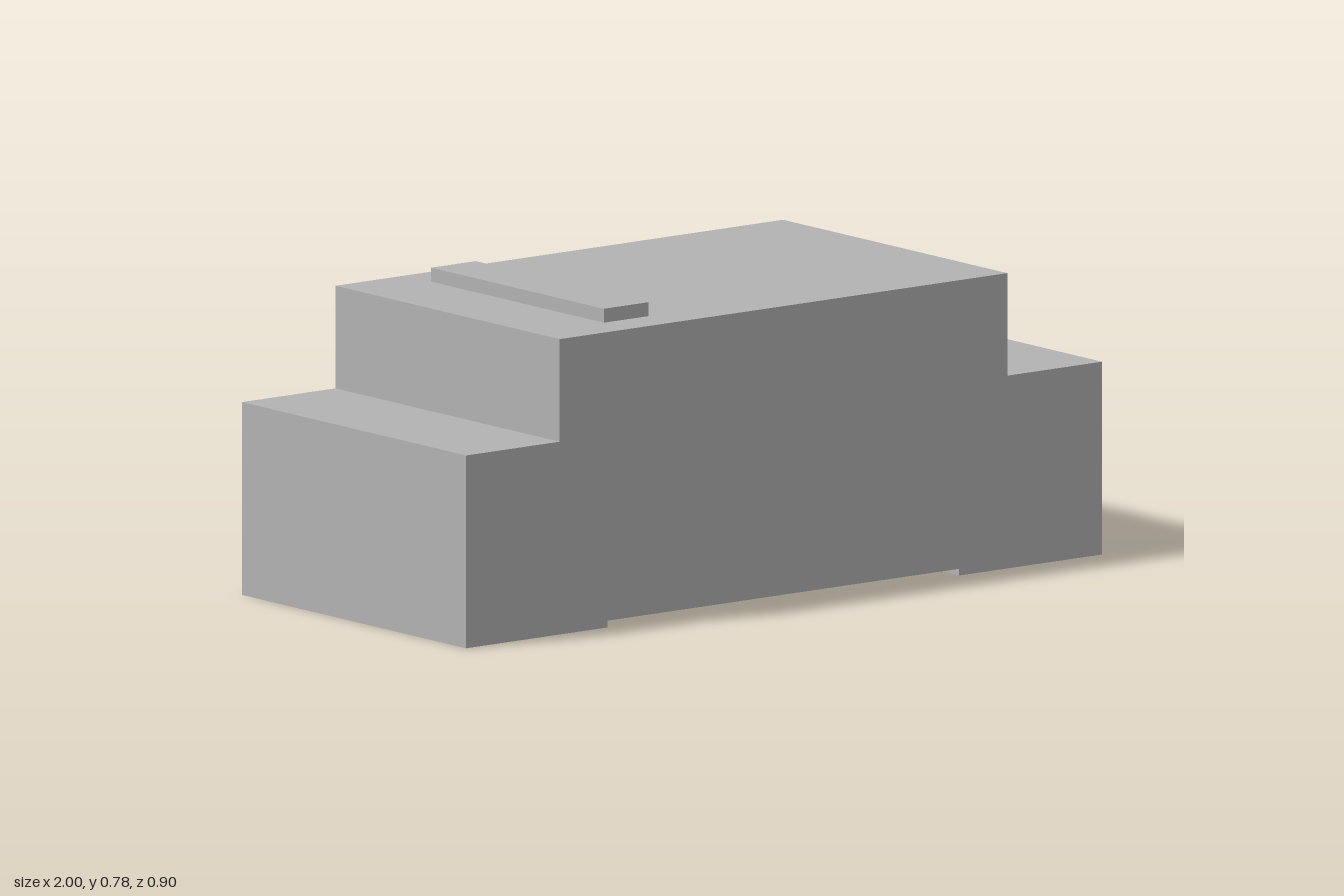
import * as THREE from 'three';

export function createModel() {
  const model = new THREE.Group();
  const grey = new THREE.MeshStandardMaterial({ color: 0xb2b2b2 });
  grey.name = 'grey';

  // Stepped housing with a shallow recess along the underside
  const depth = 0.896;
  const profile = new THREE.Shape([
    [-1, 0], [-0.555, 0], [-0.555, 0.017], [0.55, 0.017], [0.55, 0], [1, 0],
    [1, 0.485], [0.702, 0.485], [0.702, 0.743], [-0.706, 0.743], [-0.706, 0.485], [-1, 0.485],
  ].map(([x, y]) => new THREE.Vector2(x, y)));
  const housingGeometry = new THREE.ExtrudeGeometry(profile, { depth, bevelEnabled: false });
  housingGeometry.translate(0, 0, -depth / 2);
  const housing = new THREE.Mesh(housingGeometry, grey);
  housing.name = 'housing';

  // Raised bar on the top face
  const bar = new THREE.Mesh(new THREE.BoxGeometry(0.14, 0.035, 0.69), grey);
  bar.name = 'topBar';
  bar.position.set(-0.416, 0.7605, 0);

  model.add(housing, bar);
  return model;
}
